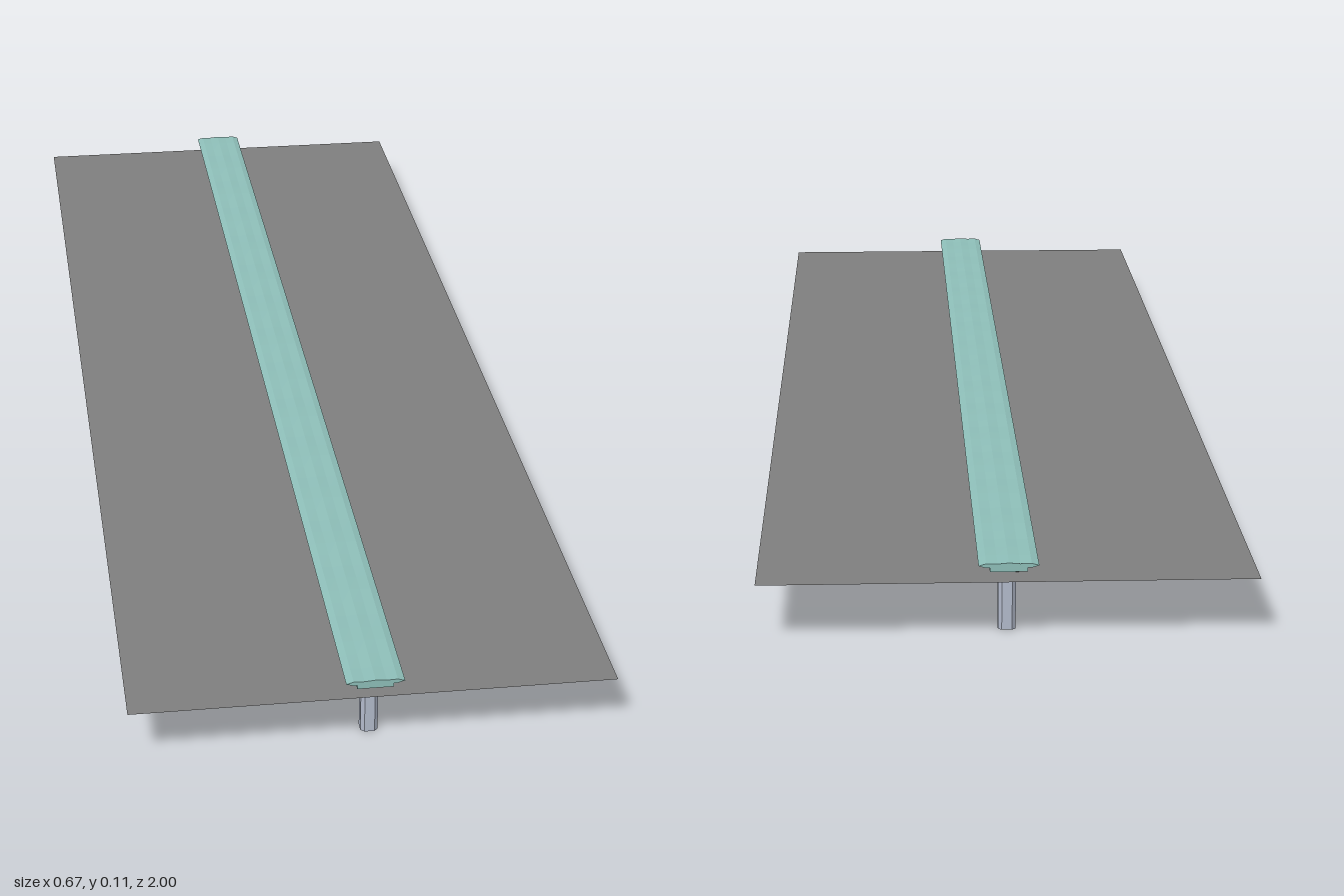
import * as THREE from 'three';

const mat = (name, color, extra = {}) => {
  const m = new THREE.MeshStandardMaterial({ color, ...extra });
  m.name = name;
  return m;
};

// Loft closed rings of [x, y, z] points, with fan caps on both ends
function loft(rings) {
  const n = rings[0].length, pos = [];
  const tri = (a, b, c) => pos.push(...a, ...b, ...c);
  for (let i = 0; i < rings.length - 1; i++) {
    for (let j = 0; j < n; j++) {
      const k = (j + 1) % n, A = rings[i], B = rings[i + 1];
      tri(A[j], A[k], B[k]);
      tri(A[j], B[k], B[j]);
    }
  }
  const first = rings[0], last = rings[rings.length - 1];
  for (let j = 1; j < n - 1; j++) {
    tri(first[0], first[j + 1], first[j]);
    tri(last[0], last[j], last[j + 1]);
  }
  const g = new THREE.BufferGeometry();
  g.setAttribute('position', new THREE.Float32BufferAttribute(pos, 3));
  g.computeVertexNormals();
  return g;
}

export function createModel() {
  const model = new THREE.Group();
  const teal = mat('pale teal deck', 0x8fc0ba, { flatShading: true });
  const stone = mat('grey capital', 0x7c8884, { flatShading: true });
  const concrete = mat('blue grey pillar', 0xb4bccd, { flatShading: true });
  const ground = mat('grey ground', 0x808080, { side: THREE.DoubleSide });

  const add = (name, geometry, material, parent = model) => {
    const mesh = new THREE.Mesh(geometry, material);
    mesh.name = name;
    parent.add(mesh);
    return mesh;
  };

  // Flat sheet that the pillars pass through
  const sheet = add('groundSheet', new THREE.PlaneGeometry(0.667, 2), ground);
  sheet.rotation.x = -Math.PI / 2;
  sheet.position.y = 0.085;

  // Deck: a thin lens section with a low repeating ripple on its top
  const section = [
    [-0.04, 0.108, 0], [-0.03, 0.105, 0], [0.03, 0.105, 0], [0.04, 0.108, 0],
    [0.03, 0.111, 0.4], [0.015, 0.1105, 1], [0, 0.1118, 0.3], [-0.015, 0.1105, 1], [-0.03, 0.111, 0.4],
  ];
  const steps = 60, rings = [];
  for (let i = 0; i <= steps; i++) {
    const ripple = 0.0006 * Math.sin((i / 4) * Math.PI * 2);
    rings.push(section.map(([x, y, r]) => [x, y + r * ripple, -1 + (2 * i) / steps]));
  }
  add('deck', loft(rings), teal);
  add('deckBeam', new THREE.BoxGeometry(0.05, 0.006, 2).translate(0, 0.1025, 0), teal);

  // Pillars with flared capitals
  const rect = (w, d, y) => [[-w, y, d], [w, y, d], [w, y, -d], [-w, y, -d]];
  const capital = loft([
    rect(0.0125, 0.015, 0.082), rect(0.018, 0.03, 0.09), rect(0.025, 0.05, 0.1),
  ].map(r => r.reverse()));
  const a = 0.012, c = 0.007;
  const chamfered = y => [[-a, y, -c], [-c, y, -a], [c, y, -a], [a, y, -c], [a, y, c], [c, y, a], [-c, y, a], [-a, y, c]];
  const shaft = loft([chamfered(0), chamfered(0.083)].map(r => r.reverse()));

  // Make sure the lofted sides face outwards
  for (const g of [capital, shaft, model.getObjectByName('deck').geometry]) faceOutwards(g);

  for (const z of [0.945, 0.64, 0.325, 0, -0.34, -0.655, -0.94]) {
    const pier = new THREE.Group();
    pier.name = 'pier';
    pier.position.z = z;
    add('pillar', shaft, concrete, pier);
    add('capital', capital, stone, pier);
    model.add(pier);
  }
  return model;
}

// Flip every triangle if the enclosed volume comes out negative
function faceOutwards(g) {
  const p = g.attributes.position;
  const [A, B, C] = [0, 1, 2].map(() => new THREE.Vector3());
  let volume = 0;
  for (let i = 0; i < p.count; i += 3) {
    A.fromBufferAttribute(p, i);
    B.fromBufferAttribute(p, i + 1);
    C.fromBufferAttribute(p, i + 2);
    volume += A.dot(B.cross(C));
  }
  if (volume >= 0) return;
  for (let i = 0; i < p.count; i += 3) {
    B.fromBufferAttribute(p, i + 1);
    C.fromBufferAttribute(p, i + 2);
    p.setXYZ(i + 1, C.x, C.y, C.z);
    p.setXYZ(i + 2, B.x, B.y, B.z);
  }
  g.computeVertexNormals();
}
